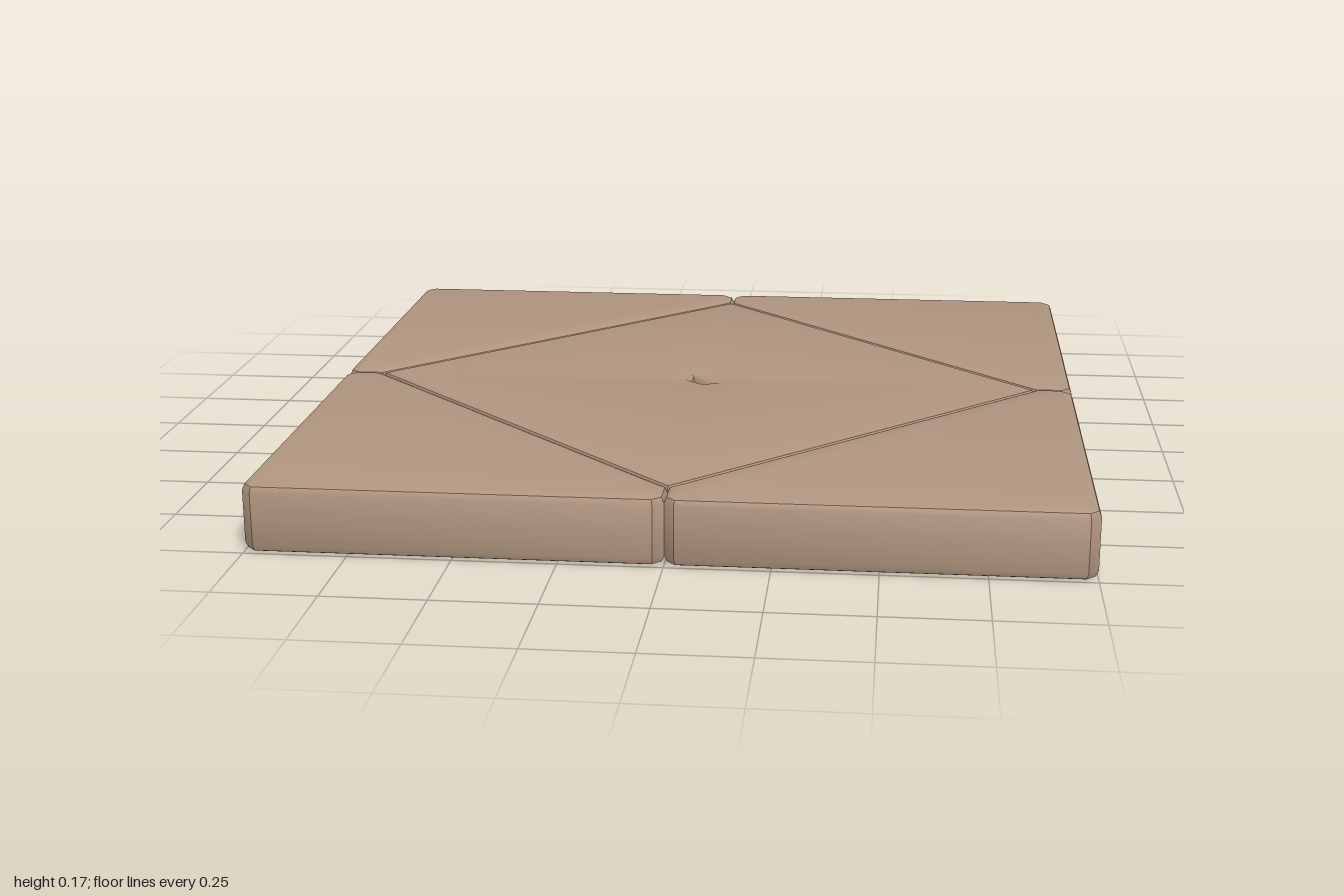
import * as THREE from 'three';
import { toCreasedNormals } from 'three/addons/utils/BufferGeometryUtils.js';

const HEIGHT = 0.17, BEVEL = 0.02;

// Extrude a plan outline into a slab with softly worn edges, standing on y = 0
function slab(points, hole) {
  const shape = new THREE.Shape(points.map(([x, y]) => new THREE.Vector2(x, y)));
  if (hole) shape.holes.push(new THREE.Path(hole.map(([x, y]) => new THREE.Vector2(x, y))));
  const geometry = new THREE.ExtrudeGeometry(shape, {
    depth: HEIGHT - 2 * BEVEL,
    bevelEnabled: true,
    bevelThickness: BEVEL,
    bevelSize: BEVEL,
    bevelOffset: -BEVEL,
    bevelSegments: 2,
  });
  geometry.rotateX(-Math.PI / 2);
  geometry.translate(0, BEVEL, 0);
  return toCreasedNormals(geometry, 0.7);
}

export function createModel() {
  const group = new THREE.Group();
  const stone = new THREE.MeshStandardMaterial({ color: 0xb0957f });
  stone.name = 'tan stone';

  // Diamond paver in the middle, with a small chipped hole at its centre
  const d = 0.9;
  const centre = new THREE.Mesh(
    slab(
      [[d, 0], [0, d], [-d, 0], [0, -d]],
      [[-0.03, 0.03], [-0.03, 0], [0, -0.025], [0.025, -0.025]],
    ),
    stone,
  );
  centre.name = 'centrePaver';
  group.add(centre);

  // Four corner pavers around it, chamfered where they meet the outer rim
  const c = 0.025;
  const cornerGeometry = slab([
    [d, 0], [1 - c, 0], [1, c], [1, 1 - c], [1 - c, 1], [c, 1], [0, 1 - c], [0, d],
  ]);
  ['backLeft', 'backRight', 'frontRight', 'frontLeft'].forEach((name, i) => {
    const corner = new THREE.Mesh(cornerGeometry, stone);
    corner.name = name + 'Paver';
    corner.rotation.y = (i * Math.PI) / 2;
    group.add(corner);
  });

  return group;
}
